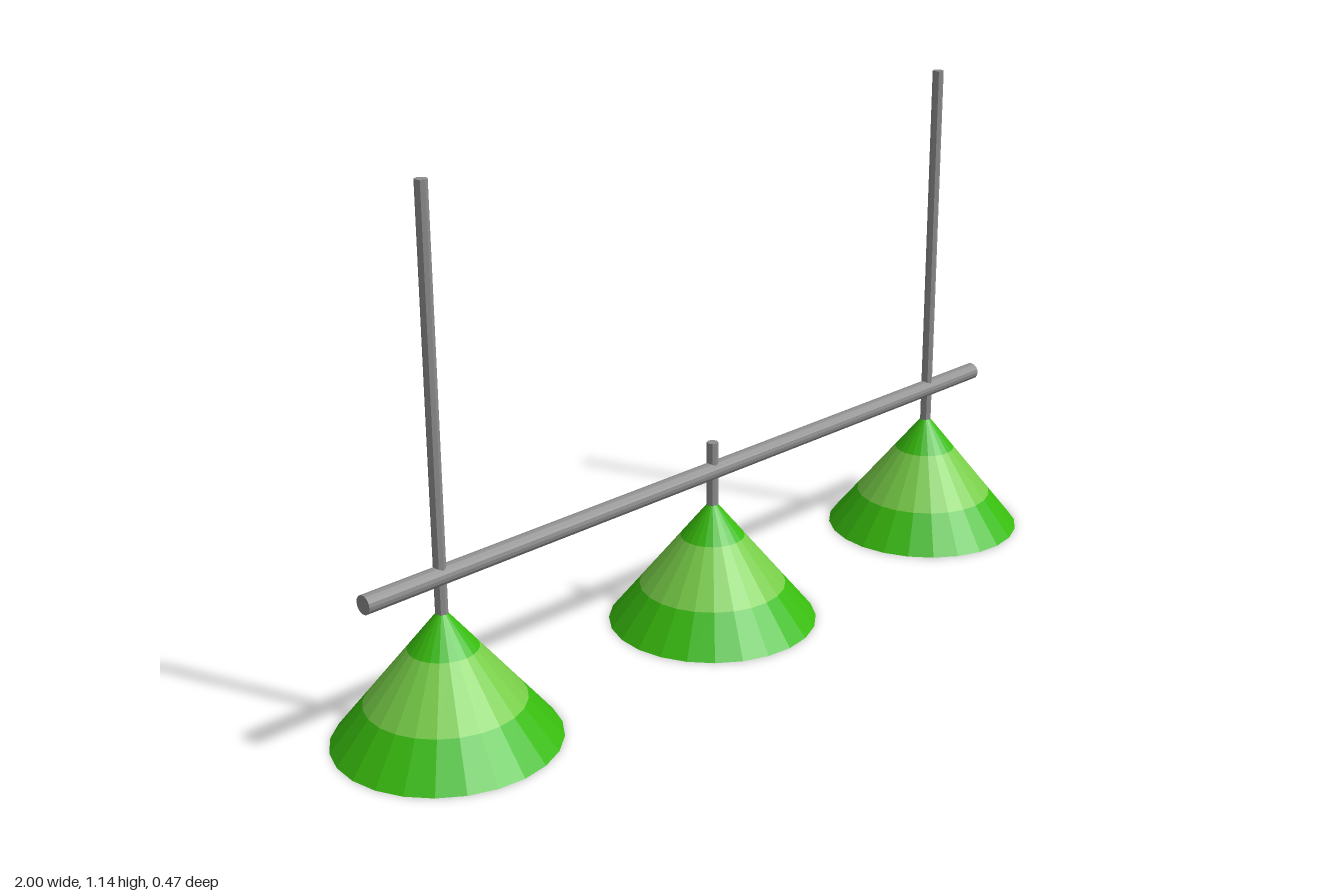
import * as THREE from 'three';

export function createModel() {
  const model = new THREE.Group();
  model.name = 'billiardLamp';

  const mat = (name, color, side = THREE.FrontSide) => {
    const m = new THREE.MeshStandardMaterial({ color, side, flatShading: true });
    m.name = name;
    return m;
  };
  const metal = mat('grey metal', 0x8e8e8e);
  const green = mat('green', 0x38bc0e, THREE.DoubleSide);
  const paleGreen = mat('pale green', 0x78cd48, THREE.DoubleSide);

  const add = (parent, name, geometry, material, x = 0, y = 0) => {
    const mesh = new THREE.Mesh(geometry, material);
    mesh.name = name;
    mesh.position.set(x, y, 0);
    parent.add(mesh);
    return mesh;
  };

  // horizontal bar carrying the lamps
  add(model, 'crossBar', new THREE.CylinderGeometry(0.02, 0.02, 1.9, 16), metal, 0, 0.353)
    .rotation.z = Math.PI / 2;

  // open conical shade in three bands: [name, bottom y, top y, material]
  const shadeTop = 0.275, rim = 0.234, neck = 0.011;
  const radiusAt = (y) => rim + (neck - rim) * (y / shadeTop);
  const bands = [
    ['shadeRimBand', 0, 0.086, green],
    ['shadeMiddleBand', 0.086, 0.2, paleGreen],
    ['shadeTopBand', 0.2, shadeTop, green],
  ];

  const lamps = [['rightLamp', -0.766, 1.14], ['middleLamp', 0, 0.42], ['leftLamp', 0.766, 1.14]];
  for (const [name, x, rodTop] of lamps) {
    const lamp = new THREE.Group();
    lamp.name = name;
    lamp.position.x = x;
    for (const [bandName, y0, y1, material] of bands) {
      const band = new THREE.CylinderGeometry(radiusAt(y1), radiusAt(y0), y1 - y0, 24, 1, true);
      add(lamp, bandName, band, material, 0, (y0 + y1) / 2);
    }
    // hanging rod, long on the outer lamps and a short stub in the middle
    const rodBottom = 0.268;
    add(lamp, 'rod', new THREE.CylinderGeometry(0.013, 0.013, rodTop - rodBottom, 8), metal,
      0, (rodTop + rodBottom) / 2);
    model.add(lamp);
  }
  return model;
}
